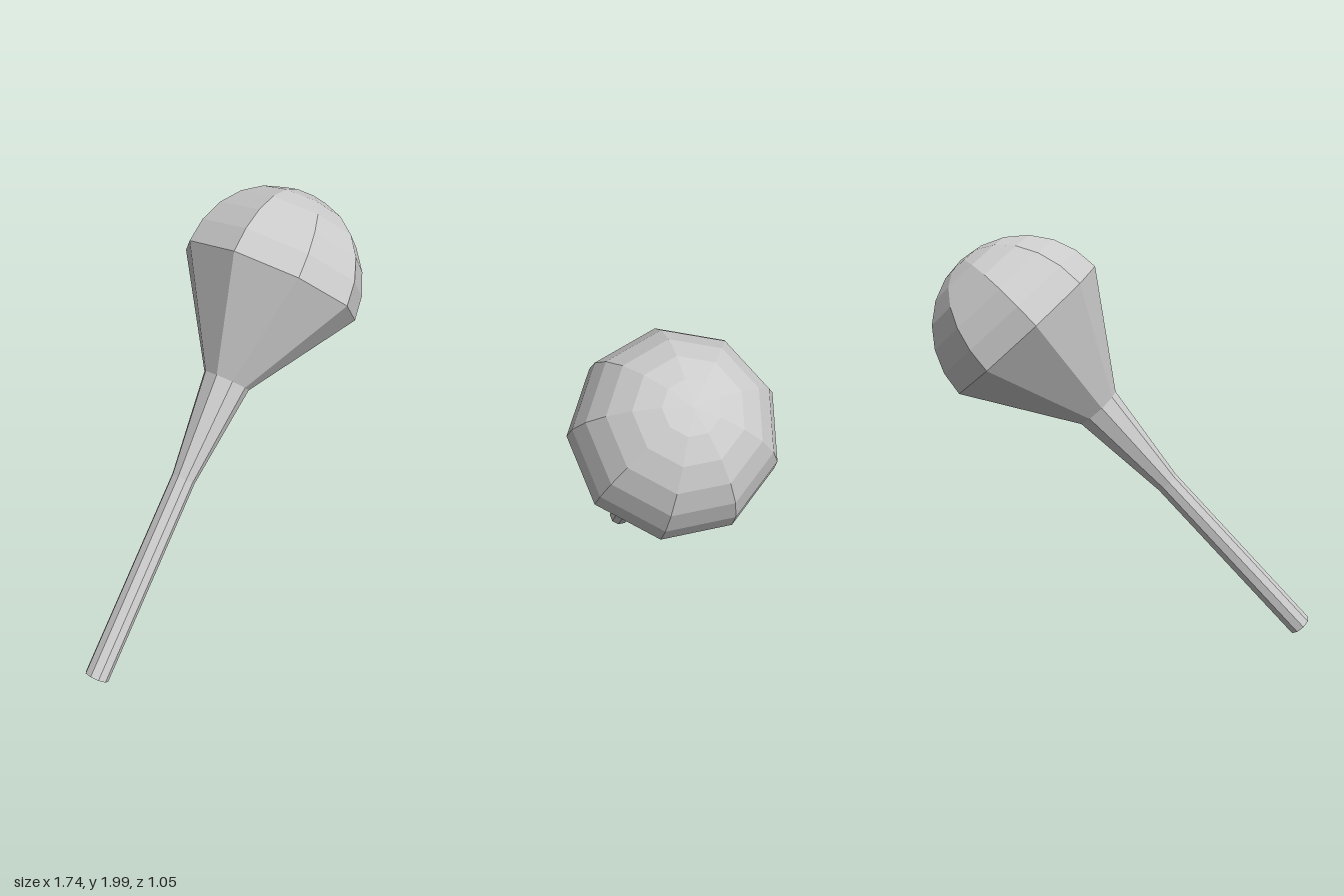
import * as THREE from 'three';

const SIDES = 9;

// Faceted solid of revolution from [radius, height] pairs
function turned(name, profile) {
  const points = profile.map(([r, h]) => new THREE.Vector2(r, h));
  const material = new THREE.MeshStandardMaterial({
    color: 0xcccccc, flatShading: true, side: THREE.DoubleSide,
  });
  const mesh = new THREE.Mesh(new THREE.LatheGeometry(points, SIDES), material);
  mesh.name = name;
  return mesh;
}

export function createModel() {
  const model = new THREE.Group();
  model.name = 'maraca';

  // Slim handle, open at the bottom, widening into the neck
  model.add(turned('handle', [[0.059, 0], [0.059, 1.02], [0.117, 1.526]]));

  // Head: straight cone up to the widest ring, then a half-ball dome
  const radius = 0.45, equator = 2.037, steps = 6;
  const head = [[0.117, 1.526]];
  for (let i = 0; i <= steps; i++) {
    const a = (i / steps) * Math.PI / 2;
    head.push([i === steps ? 0 : radius * Math.cos(a), equator + radius * Math.sin(a)]);
  }
  model.add(turned('head', head));

  // Lean the whole rattle along its axis, with one facet edge turned to the front
  const axis = new THREE.Vector3(0.616, 0.74, -0.27).normalize();
  const edge = new THREE.Vector3(0.322, 0.096, 0.929);
  edge.addScaledVector(axis, -edge.dot(axis)).normalize();
  const side = new THREE.Vector3().crossVectors(axis, edge);
  model.quaternion.setFromRotationMatrix(new THREE.Matrix4().makeBasis(side, axis, edge));
  model.position.set(-0.828, 0.04, 0.48);

  const root = new THREE.Group();
  root.add(model);
  return root;
}
